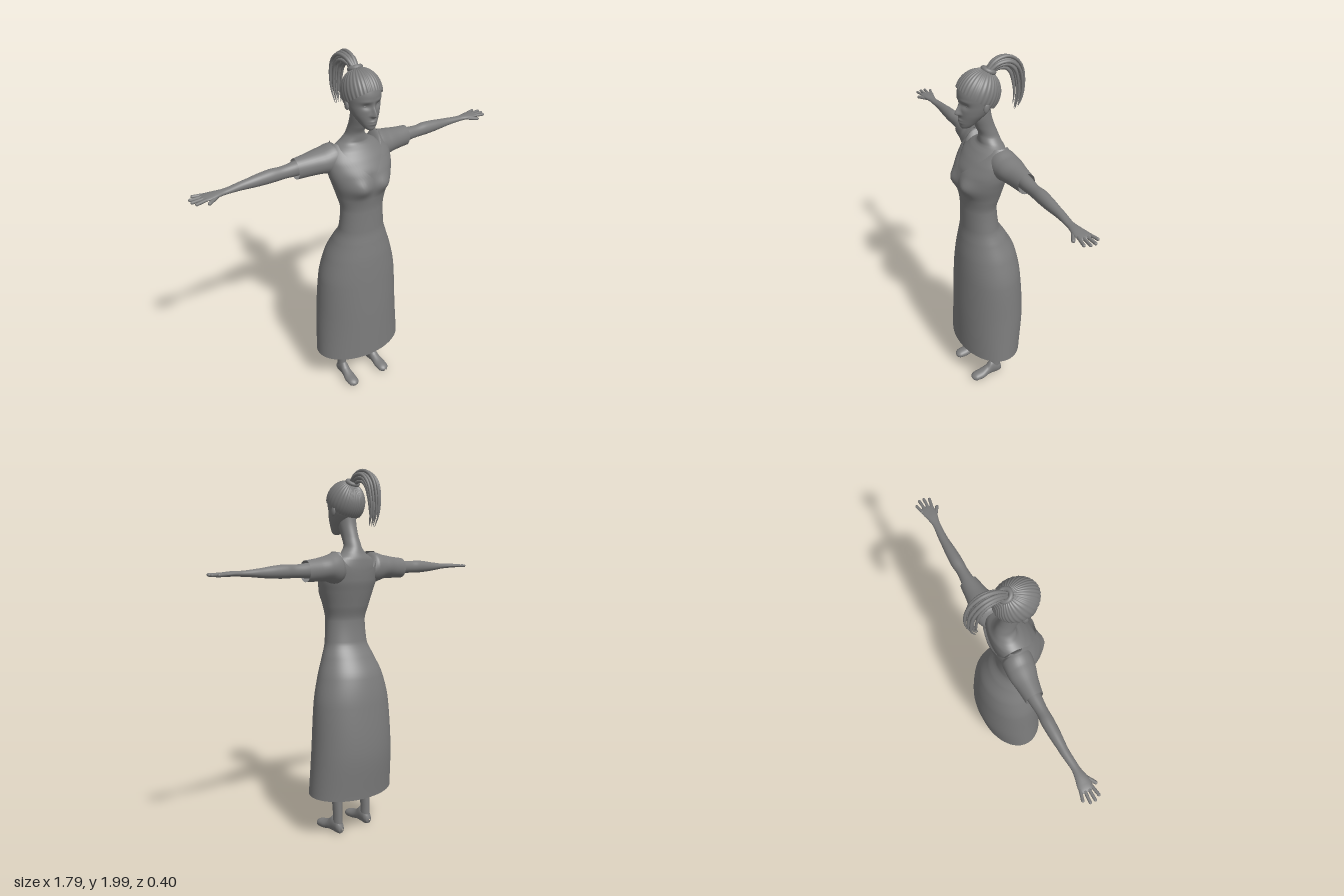
import * as THREE from 'three';
import { ParametricGeometry } from 'three/addons/geometries/ParametricGeometry.js';

const cloth = new THREE.MeshStandardMaterial({ color: 0x7c7c7c, side: THREE.DoubleSide });
const skin = new THREE.MeshStandardMaterial({ color: 0x7c7c7c });
const TAU = Math.PI * 2;
const bump = (d, w) => Math.exp(-(d * d) / (w * w));

// Smooth monotone interpolation of table rows, keyed by their first number
function sample(rows, t) {
  let i = 0;
  while (i < rows.length - 2 && t > rows[i + 1][0]) i++;
  const h = rows[i + 1][0] - rows[i][0];
  const f = THREE.MathUtils.clamp((t - rows[i][0]) / h, 0, 1);
  const secant = (j, k) => (j < 0 || j > rows.length - 2 ? null : (rows[j + 1][k] - rows[j][k]) / (rows[j + 1][0] - rows[j][0]));
  const slope = (j, k) => {
    const a = secant(j - 1, k), b = secant(j, k);
    if (a === null) return b;
    if (b === null) return a;
    return a * b <= 0 ? 0 : (2 * a * b) / (a + b);
  };
  return rows[i].map((v, k) => {
    if (k === 0) return t;
    const f2 = f * f, f3 = f2 * f;
    return v * (2 * f3 - 3 * f2 + 1) + rows[i + 1][k] * (3 * f2 - 2 * f3)
      + h * (slope(i, k) * (f3 - 2 * f2 + f) + slope(i + 1, k) * (f3 - f2));
  });
}

// Closed-around surface; place(cos, sin, v) gives a point, side = -1 mirrors it
function surface(name, place, nu, nv, material = skin, side = 1) {
  const geometry = new ParametricGeometry((u, v, target) => {
    const a = side * u * TAU;
    target.copy(place(Math.cos(a), Math.sin(a), v, a));
    target.x *= side;
  }, nu, nv);
  const mesh = new THREE.Mesh(geometry, material);
  mesh.name = name;
  return mesh;
}

// How a cross-section is laid out along each axis
const sections = {
  x: ([x, yc, ry, zc, rz], c, s) => new THREE.Vector3(x, yc - ry * s, zc + rz * c),
  y: ([y, xc, hw, zf, zb], c, s) => new THREE.Vector3(xc + hw * c, y, (zf + zb) / 2 - s * (zf - zb) / 2),
  z: ([z, xc, hw, yb, yt], c, s) => new THREE.Vector3(xc + hw * c, (yb + yt) / 2 + s * (yt - yb) / 2, z),
};
function loft(name, axis, rows, { nu = 32, nv = 32, material = skin, side = 1, adjust = (p) => p } = {}) {
  const t0 = rows[0][0], t1 = rows[rows.length - 1][0];
  return surface(name, (c, s, v) => adjust(sections[axis](sample(rows, t0 + (t1 - t0) * v), c, s)), nu, nv, material, side);
}

// Dress cross-sections: y, centre x, half width, front z, back z
const dress = [
  [0.23, 0, 0.265, 0.203, -0.15], [0.5, 0, 0.247, 0.2, -0.174], [0.75, 0, 0.23, 0.19, -0.158],
  [0.9, 0, 0.195, 0.18, -0.13], [1, 0, 0.157, 0.167, -0.08], [1.08, 0, 0.13, 0.157, -0.035],
  [1.2, 0, 0.122, 0.156, -0.024], [1.28, 0, 0.14, 0.164, -0.045], [1.36, 0, 0.165, 0.178, -0.066],
  [1.42, 0, 0.18, 0.168, -0.08], [1.48, 0, 0.185, 0.135, -0.084], [1.54, 0, 0.163, 0.09, -0.08],
  [1.572, 0, 0.138, 0.068, -0.07],
];
function bust(p) {
  if (p.z > 0.06) p.z += 0.024 * bump(Math.abs(p.x) - 0.07, 0.05) * bump(p.y - 1.355, 0.05);
  return p;
}
// Neckline height: V in front, round at the back
function neckline(c, s) {
  const k = Math.min(1, Math.abs(c) / 0.88);
  return s < 0 ? 1.4 + 0.17 * k : 1.46 + 0.11 * k * k;
}
const hem = (c, s) => 0.24 - 0.008 * s;
const level = (y) => () => y;
function dressPart(name, bottom, top, nv) {
  return surface(name, (c, s, v) => {
    const y = THREE.MathUtils.lerp(bottom(c, s), top(c, s), v);
    return bust(sections.y(sample(dress, y), c, s));
  }, 72, nv, cloth);
}

// Face relief: nose, eye sockets, brow and lips
function face(p) {
  if (p.z < 0.08) return p;
  const { x, y } = p, ax = Math.abs(x);
  const ridge = y > 1.742 ? bump(y - 1.742, 0.036) : bump(y - 1.742, 0.011);
  p.z += 0.026 * ridge * bump(x, 0.009 + 0.005 * bump(y - 1.74, 0.015));
  p.z -= 0.01 * bump(ax - 0.034, 0.022) * bump(y - 1.787, 0.016);
  p.z += 0.003 * bump(ax - 0.035, 0.03) * bump(y - 1.812, 0.01);
  p.z += 0.005 * bump(x, 0.02) * (bump(y - 1.708, 0.007) + bump(y - 1.695, 0.007));
  return p;
}

function ellipsoid(name, [x, y, z], [rx, ry, rz]) {
  const mesh = new THREE.Mesh(new THREE.SphereGeometry(1, 16, 12), skin);
  mesh.name = name;
  mesh.position.set(x, y, z);
  mesh.scale.set(rx, ry, rz);
  return mesh;
}
function finger(name, from, to, r) {
  const a = new THREE.Vector3(...from), b = new THREE.Vector3(...to);
  const mesh = new THREE.Mesh(new THREE.CapsuleGeometry(r, a.distanceTo(b), 4, 10), skin);
  mesh.name = name;
  mesh.position.copy(a).lerp(b, 0.5);
  mesh.quaternion.setFromUnitVectors(new THREE.Vector3(0, 1, 0), b.sub(a).normalize());
  return mesh;
}

// Combed hair cap with strands running from the hairline to the band
function hairCap() {
  const band = new THREE.Vector3(0, 1, -0.5).normalize();
  return surface('hairCap', (c, s, v, a) => {
    const d = new THREE.Vector3(c, -0.4 - 0.75 * s, -s).normalize().lerp(band, v).normalize();
    const r = 1.01 + 0.012 * Math.cos(a * 36) * (1 - 0.5 * v);
    return new THREE.Vector3(d.x * 0.095 * r, 1.83 + d.y * 0.112 * r, 0.06 + d.z * 0.113 * r);
  }, 360, 26, cloth);
}

// Ponytail of tapering strands along one arching curve
function ponytail() {
  const group = new THREE.Group();
  group.name = 'ponytail';
  const spine = new THREE.CatmullRomCurve3([
    [1.925, 0], [1.953, -0.04], [1.955, -0.095], [1.918, -0.138], [1.85, -0.158], [1.77, -0.16], [1.7, -0.143],
  ].map(([y, z]) => new THREE.Vector3(0, y, z)));
  const right = new THREE.Vector3(1, 0, 0);
  for (let i = 0; i < 14; i++) {
    const angle = i * 2.4, spread = 0.026 * Math.sqrt(i / 13), end = 1 - 0.04 * (i % 4);
    group.add(surface('strand', (c, s, v) => {
      const t = v * end;
      const normal = spine.getTangent(t).cross(right);
      const w = 0.011 * Math.pow(Math.max(1 - v, 0.002), 0.45);
      const o = spread * (0.5 + 0.8 * Math.sin(Math.PI * Math.min(1, t * 0.95)));
      return spine.getPoint(t)
        .addScaledVector(right, o * Math.cos(angle) + w * c)
        .addScaledVector(normal, 1.15 * o * Math.sin(angle) + w * s);
    }, 10, 28));
  }
  return group;
}

export function createModel() {
  const model = new THREE.Group();
  model.name = 'womanInDress';

  // Dress
  model.add(
    dressPart('skirt', hem, level(1.085), 40),
    dressPart('waist', level(1.08), level(1.265), 14),
    dressPart('bodice', level(1.26), neckline, 36),
  );

  // Chest and neck
  model.add(loft('chestAndNeck', 'y', [
    [1.28, 0, 0.125, 0.15, -0.032], [1.36, 0, 0.15, 0.164, -0.054], [1.42, 0, 0.165, 0.156, -0.068],
    [1.48, 0, 0.165, 0.124, -0.073], [1.53, 0, 0.13, 0.083, -0.069], [1.56, 0, 0.078, 0.056, -0.058],
    [1.6, 0, 0.047, 0.056, -0.044], [1.65, 0, 0.043, 0.076, -0.024], [1.72, 0, 0.046, 0.1, -0.005],
    [1.77, 0, 0.046, 0.1, 0],
  ], { nu: 48, nv: 48, adjust: bust }));

  // Head
  const head = new THREE.Group();
  head.name = 'head';
  head.add(loft('face', 'y', [
    [1.656, 0, 0.003, 0.142, 0.135], [1.662, 0, 0.02, 0.154, 0.105], [1.675, 0, 0.033, 0.16, 0.085],
    [1.7, 0, 0.049, 0.162, 0.055], [1.74, 0, 0.071, 0.162, 0.01], [1.78, 0, 0.083, 0.162, -0.02],
    [1.83, 0, 0.09, 0.166, -0.042], [1.88, 0, 0.082, 0.153, -0.035], [1.92, 0, 0.048, 0.116, 0],
    [1.935, 0, 0.003, 0.063, 0.057],
  ], { nu: 120, nv: 110, adjust: face }));
  head.add(hairCap(), ponytail());
  const hairBand = new THREE.Mesh(new THREE.TorusGeometry(0.028, 0.012, 12, 28), skin);
  hairBand.name = 'hairBand';
  hairBand.position.set(0, 1.928, 0.004);
  hairBand.rotation.x = -Math.PI / 2 - 0.46;
  head.add(hairBand);
  model.add(head);

  for (const side of [1, -1]) {
    const prefix = side > 0 ? 'left' : 'right';
    head.add(ellipsoid(prefix + 'Eye', [side * 0.034, 1.786, 0.135], [0.013, 0.006, 0.01]));
    const ear = ellipsoid(prefix + 'Ear', [side * 0.087, 1.78, 0.06], [0.009, 0.026, 0.015]);
    ear.rotation.x = -0.2;
    head.add(ear);

    // Sleeve and arm: x, centre y, half height, centre z, half depth
    model.add(loft(prefix + 'Sleeve', 'x', [
      [0.09, 1.46, 0.045, 0, 0.055], [0.135, 1.483, 0.083, -0.003, 0.076], [0.2, 1.484, 0.066, -0.01, 0.072],
      [0.27, 1.479, 0.059, -0.016, 0.057], [0.342, 1.475, 0.055, -0.02, 0.046],
    ], { side, material: cloth, nv: 28 }));
    model.add(loft(prefix + 'Arm', 'x', [
      [0.2, 1.482, 0.045, -0.018, 0.04], [0.34, 1.478, 0.038, -0.02, 0.035], [0.42, 1.477, 0.033, -0.02, 0.029],
      [0.47, 1.478, 0.035, -0.022, 0.032], [0.53, 1.477, 0.032, -0.022, 0.03], [0.62, 1.475, 0.023, -0.022, 0.023],
      [0.72, 1.475, 0.014, -0.016, 0.02], [0.77, 1.476, 0.013, -0.015, 0.029], [0.81, 1.475, 0.011, -0.018, 0.036],
      [0.835, 1.475, 0.007, -0.02, 0.035], [0.842, 1.475, 0.002, -0.02, 0.02],
    ], { side, nv: 56 }));
    const hand = new THREE.Group();
    hand.name = prefix + 'Fingers';
    [[-0.047, -0.06, 0.865], [-0.029, -0.034, 0.887], [-0.01, -0.008, 0.887], [0.008, 0.018, 0.875]].forEach(([z0, z1, x]) => {
      hand.add(finger('finger', [side * 0.82, 1.475, z0], [side * x, 1.474, z1], 0.0078));
    });
    hand.add(finger('thumb', [side * 0.765, 1.472, 0], [side * 0.82, 1.468, 0.034], 0.009));
    model.add(hand);

    // Leg: y, centre x, half width, front z, back z
    model.add(loft(prefix + 'Leg', 'y', [
      [0.03, 0.105, 0.024, 0.05, -0.02], [0.1, 0.105, 0.023, 0.044, -0.017], [0.2, 0.105, 0.028, 0.05, -0.015],
      [0.35, 0.105, 0.046, 0.065, -0.045], [0.5, 0.1, 0.044, 0.065, -0.03], [0.8, 0.09, 0.075, 0.1, -0.07],
      [0.95, 0.07, 0.065, 0.09, -0.05],
    ], { side }));
    // Foot: z, centre x, half width, bottom y, top y
    model.add(loft(prefix + 'Foot', 'z', [
      [-0.026, 0.105, 0.003, 0.025, 0.035], [-0.018, 0.105, 0.019, 0.006, 0.06], [0.005, 0.105, 0.026, 0, 0.085],
      [0.04, 0.106, 0.026, 0.003, 0.098], [0.075, 0.108, 0.028, 0.006, 0.07], [0.115, 0.11, 0.034, 0, 0.053],
      [0.15, 0.11, 0.032, 0, 0.046], [0.17, 0.109, 0.02, 0.007, 0.036], [0.176, 0.109, 0.003, 0.018, 0.024],
    ], { side }));
  }
  return model;
}
